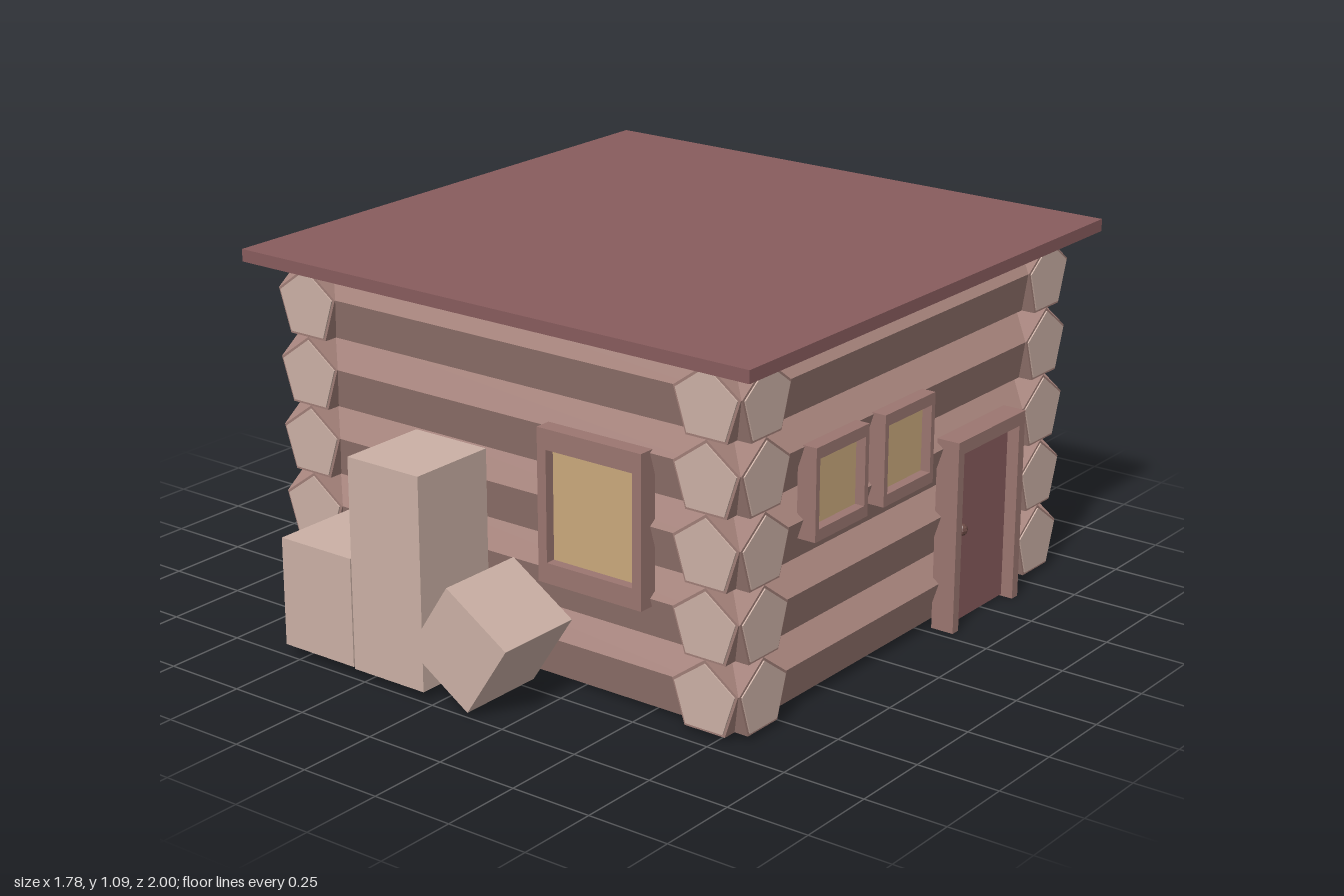
import * as THREE from 'three';

const mat = (color) => new THREE.MeshStandardMaterial({ color, flatShading: true });
const bark = mat(0xa07e77);
const cutWood = mat(0xcbb0a5);
const roofRed = mat(0x885c5d);
const trim = mat(0x9b7670);
const glass = mat(0xcaa97c);
const knobBrown = mat(0x6b4a45);

const PITCH = 0.207;          // height of one log course
const R = PITCH / 1.809;      // pentagon radius whose height fills one course
const HALF = 0.707;           // wall centre line
const END = 0.818;            // where the logs are cut

function add(parent, name, geometry, material, x = 0, y = 0, z = 0) {
  const mesh = new THREE.Mesh(geometry, material);
  mesh.name = name;
  mesh.position.set(x, y, z);
  parent.add(mesh);
  return mesh;
}

// Five-sided prism along z with its ridge pointing up
function pentagon(rFront, rBack, length) {
  return new THREE.CylinderGeometry(rBack, rFront, length, 5).rotateX(-Math.PI / 2);
}

// One wall of stacked logs with pale cut ends, standing at local z = HALF
function logWall(name) {
  const wall = new THREE.Group();
  wall.name = name;
  const log = pentagon(R, R, END * 2).rotateY(Math.PI / 2);
  const cap = pentagon(0.105, 0.105, 0.006).rotateY(Math.PI / 2);
  for (let i = 0; i < 5; i++) {
    const y = 0.015 + 0.809 * R + i * PITCH;
    add(wall, 'log', log, bark, 0, y, HALF);
    for (const s of [-1, 1]) add(wall, 'logEnd', cap, cutWood, s * (END + 0.001), y, HALF);
  }
  return wall;
}

// Rectangle path, left, bottom, right, top
function rect(Type, x0, y0, x1, y1) {
  const p = new Type();
  p.moveTo(x0, y0);
  p.lineTo(x1, y0);
  p.lineTo(x1, y1);
  p.lineTo(x0, y1);
  p.closePath();
  return p;
}

// Framed window on a wall facing local +z
function windowUnit(parent, x, y0, y1, width, sideRail, rail) {
  const g = new THREE.Group();
  g.name = 'window';
  const w = width / 2, i = w - sideRail;
  const shape = rect(THREE.Shape, -w, y0, w, y1);
  shape.holes.push(rect(THREE.Path, -i, y0 + rail, i, y1 - rail));
  const frame = new THREE.ExtrudeGeometry(shape, { depth: 0.06, bevelEnabled: false });
  add(g, 'windowFrame', frame, trim, 0, 0, 0.795);
  const pane = new THREE.BoxGeometry(i * 2, y1 - y0 - rail * 2, 0.025);
  add(g, 'windowPane', pane, glass, 0, (y0 + y1) / 2, 0.812);
  g.position.x = x;
  parent.add(g);
}

// Door with a frame open at the threshold
function door(parent, x) {
  const g = new THREE.Group();
  g.name = 'door';
  const s = new THREE.Shape();
  [[-0.18, 0], [-0.15, 0], [-0.15, 0.545], [0.15, 0.545], [0.15, 0], [0.18, 0], [0.18, 0.585], [-0.18, 0.585]]
    .forEach(([px, py], k) => (k ? s.lineTo(px, py) : s.moveTo(px, py)));
  s.closePath();
  const frame = new THREE.ExtrudeGeometry(s, { depth: 0.073, bevelEnabled: false });
  add(g, 'doorFrame', frame, trim, 0, 0, 0.795);
  add(g, 'doorPanel', new THREE.BoxGeometry(0.3, 0.54, 0.035), roofRed, 0, 0.275, 0.812);
  add(g, 'doorKnob', new THREE.SphereGeometry(0.018, 8, 6), knobBrown, -0.107, 0.295, 0.842);
  g.position.x = x;
  parent.add(g);
}

export function createModel() {
  const model = new THREE.Group();
  model.name = 'logCabin';

  // Cabin: four log walls around an open interior
  const cabin = new THREE.Group();
  cabin.name = 'cabin';
  cabin.position.z = -0.115;
  model.add(cabin);
  const [front, left, back] = ['frontWall', 'leftWall', 'backWall', 'rightWall'].map((name, k) => {
    const wall = logWall(name);
    wall.rotation.y = k * Math.PI / 2;
    cabin.add(wall);
    return wall;
  });

  // Openings
  windowUnit(front, 0.345, 0.325, 0.772, 0.354, 0.03, 0.06);
  windowUnit(back, 0, 0.325, 0.772, 0.72, 0.05, 0.06);
  windowUnit(left, -0.404, 0.5, 0.768, 0.25, 0.017, 0.034);
  windowUnit(left, -0.075, 0.5, 0.768, 0.25, 0.017, 0.034);
  door(left, 0.345);

  // Flat roof
  add(model, 'roof', new THREE.BoxGeometry(1.78, 0.037, 1.77), roofRed, 0, 1.068, -0.115);

  // Crates stacked by the front wall: width, height, x, y, tilt
  [[0.26, 0.325, -0.42, 0.197, 0], [0.255, 0.63, -0.158, 0.345, 0], [0.245, 0.257, 0.095, 0.188, -0.575]]
    .forEach(([w, h, x, y, tilt]) => {
      add(model, 'crate', new THREE.BoxGeometry(w, h, 0.28), cutWood, x, y, 0.86).rotation.z = tilt;
    });

  return model;
}
